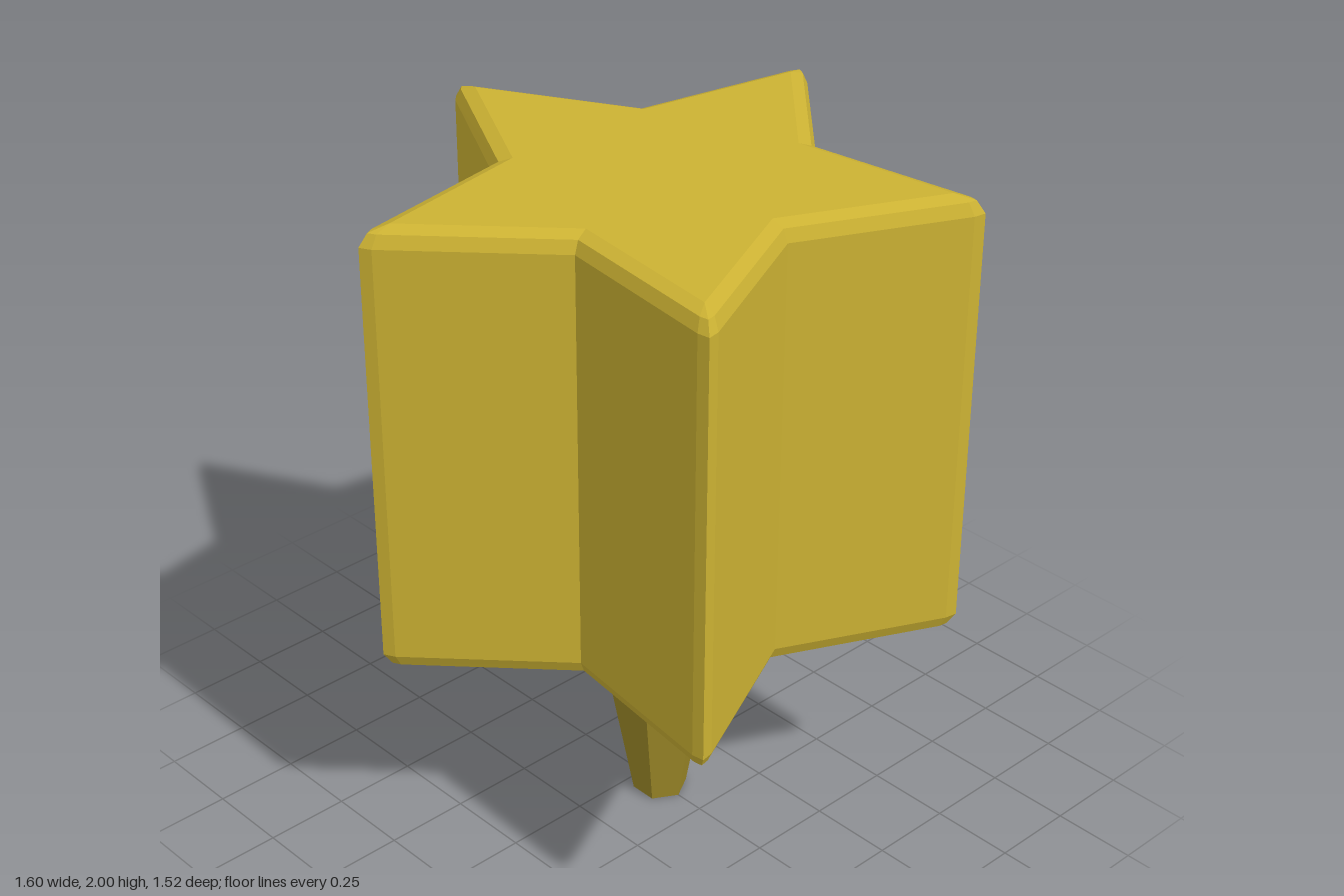
import * as THREE from 'three';

const CENTER_Z = 0.08;
const BOTTOM = 0.667, TOP = 2, BEVEL = 0.05;

// Star outline in polar form: each arm has a sharp valley and a three-point rounded tip.
// Every entry is [angle, radius, radius after the full bevel inset, inset angle].
function starOutline() {
  const points = [];
  const spread = Math.atan2(0.025, 0.815);
  for (let k = 0; k < 5; k++) {
    const valley = k * Math.PI * 0.4;
    const tip = valley + Math.PI * 0.2;
    points.push([valley, 0.455, 0.4, valley]);
    points.push([tip - spread, 0.815, 0.755, tip]);
    points.push([tip, 0.84, 0.755, tip]);
    points.push([tip + spread, 0.815, 0.755, tip]);
  }
  return points;
}

// One horizontal ring of the star; inset runs from 0 (full size) to 1 (cap edge).
function starRing(y, inset) {
  return starOutline().map(([a, r, rIn, aIn]) => {
    const outer = new THREE.Vector3(r * Math.sin(a), y, r * Math.cos(a));
    const inner = new THREE.Vector3(rIn * Math.sin(aIn), y, rIn * Math.cos(aIn));
    return outer.lerp(inner, inset);
  });
}

// Star prism with a two-step bevel at both ends, closed by fans from the centre.
function starGeometry() {
  const half = 1 - Math.SQRT1_2;
  const rings = [
    starRing(BOTTOM, 1),
    starRing(BOTTOM + BEVEL * half, half),
    starRing(BOTTOM + BEVEL, 0),
    starRing(TOP - BEVEL, 0),
    starRing(TOP - BEVEL * half, half),
    starRing(TOP, 1),
  ];
  const positions = [];
  const triangle = (a, b, c) => {
    if (new THREE.Triangle(a, b, c).getArea() < 1e-7) return;
    for (const p of [a, b, c]) positions.push(p.x, p.y, p.z);
  };
  const n = rings[0].length;
  const low = new THREE.Vector3(0, BOTTOM, 0);
  const high = new THREE.Vector3(0, TOP, 0);
  for (let i = 0; i < n; i++) {
    const j = (i + 1) % n;
    for (let k = 0; k < rings.length - 1; k++) {
      const l = rings[k], u = rings[k + 1];
      triangle(l[i], l[j], u[j]);
      triangle(l[i], u[j], u[i]);
    }
    triangle(low, rings[0][j], rings[0][i]);
    triangle(high, rings[5][i], rings[5][j]);
  }
  const geometry = new THREE.BufferGeometry();
  geometry.setAttribute('position', new THREE.Float32BufferAttribute(positions, 3));
  geometry.computeVertexNormals();
  return geometry;
}

export function createModel() {
  const gold = new THREE.MeshStandardMaterial({ color: 0xccb233, flatShading: true });
  gold.name = 'gold';
  const darkGold = new THREE.MeshStandardMaterial({ color: 0x9f8b28, flatShading: true });
  darkGold.name = 'dark gold';

  const group = new THREE.Group();
  group.name = 'starOnPeg';

  // Thick star block
  const star = new THREE.Mesh(starGeometry(), gold);
  star.name = 'starBlock';
  star.position.z = CENTER_Z;
  group.add(star);

  // Tapered six-sided peg underneath
  const peg = new THREE.Mesh(new THREE.CylinderGeometry(0.2, 0.08, BOTTOM, 6), darkGold);
  peg.name = 'peg';
  peg.position.set(0, BOTTOM / 2, CENTER_Z);
  group.add(peg);

  return group;
}
